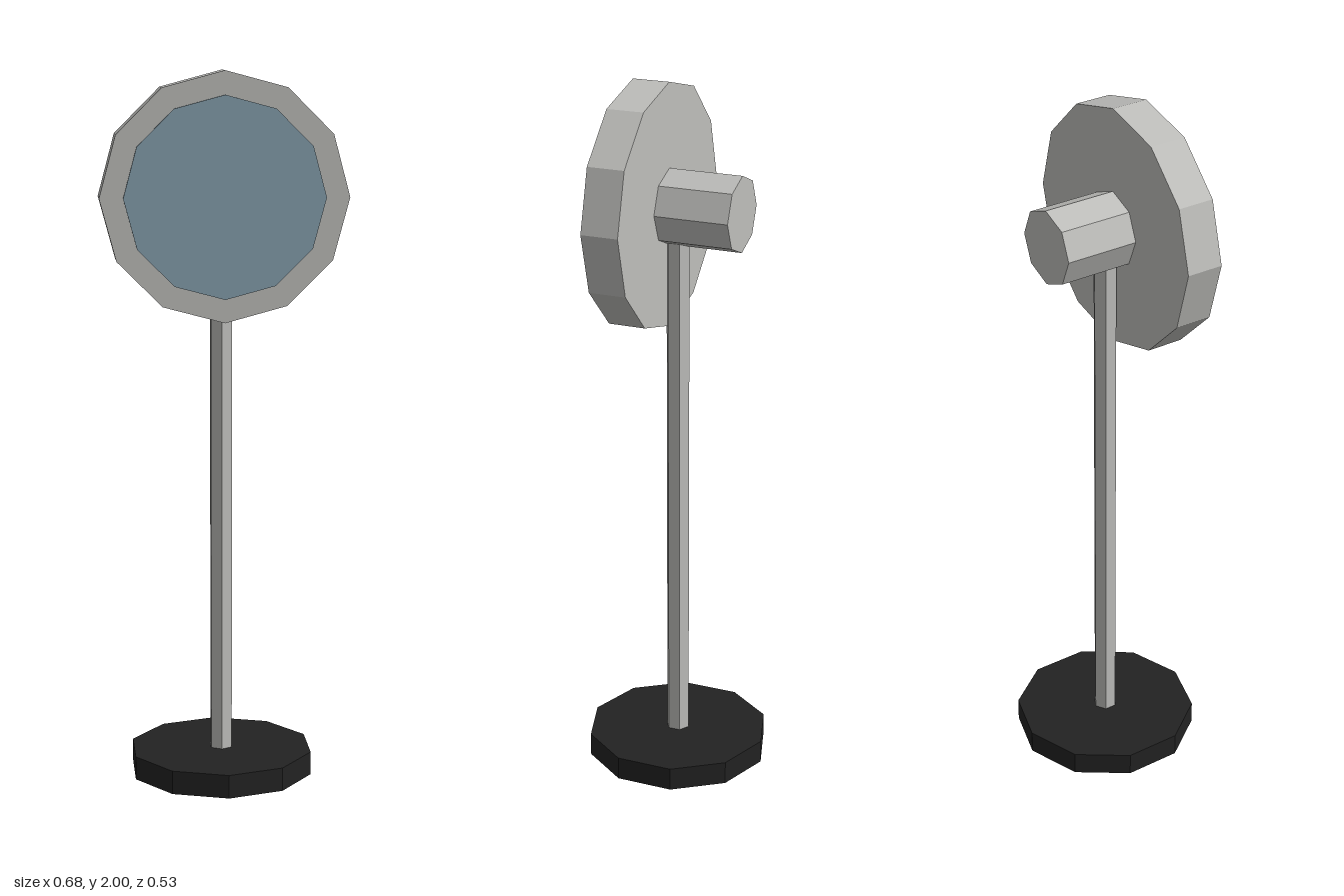
import * as THREE from 'three';

export function createModel() {
  const model = new THREE.Group();
  model.name = 'standMirror';

  const material = (name, color) => {
    const m = new THREE.MeshStandardMaterial({ color, flatShading: true });
    m.name = name;
    return m;
  };
  const metal = material('brushed metal', 0xbebebb);
  const glass = material('blue glass', 0x86a0ae);
  const black = material('black base', 0x222222);

  // Upright prism between two heights
  function upright(name, radius, y0, y1, sides, mat) {
    const mesh = new THREE.Mesh(new THREE.CylinderGeometry(radius, radius, y1 - y0, sides), mat);
    mesh.name = name;
    mesh.position.y = (y0 + y1) / 2;
    model.add(mesh);
  }

  // Prism lying along z, centred on the head's axis
  const headY = 1.658;
  function facing(name, radius, z0, z1, sides, mat) {
    const geometry = new THREE.CylinderGeometry(radius, radius, z1 - z0, sides).rotateX(Math.PI / 2);
    const mesh = new THREE.Mesh(geometry, mat);
    mesh.name = name;
    mesh.position.set(0, headY, (z0 + z1) / 2);
    model.add(mesh);
  }

  // Stand
  upright('base', 0.264, 0, 0.067, 10, black);
  upright('pole', 0.034, 0.06, 1.58, 6, metal);

  // Round head, its glass face and the housing behind it
  facing('headRim', 0.342, 0.025, 0.131, 12, metal);
  facing('glassFace', 0.277, 0.13, 0.138, 12, glass);
  facing('rearHousing', 0.107, -0.187, 0.03, 8, metal);

  return model;
}
